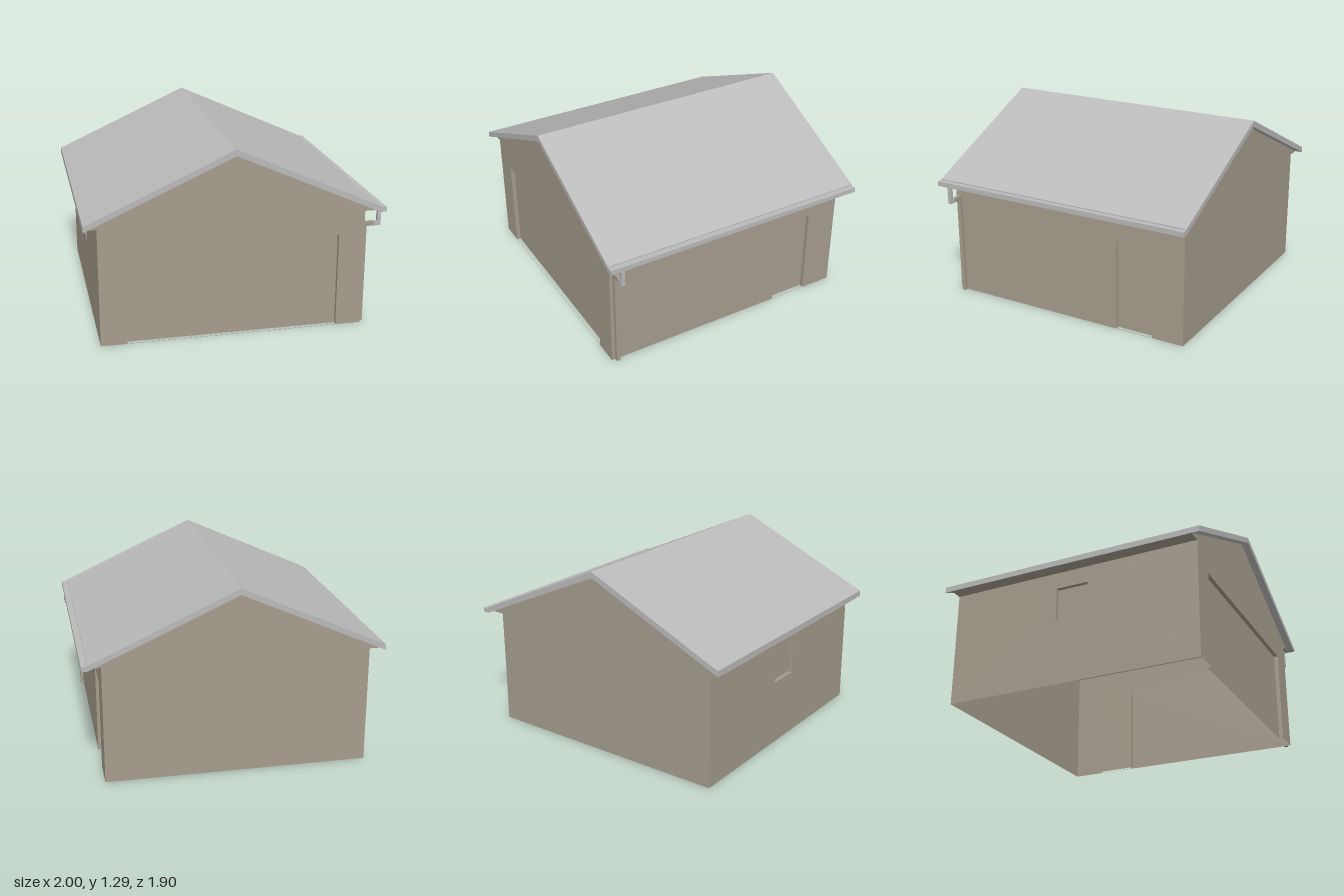
import * as THREE from 'three';

const mat = (name, color) => new THREE.MeshStandardMaterial({ name, color, side: THREE.DoubleSide });

const X0 = -0.91, X1 = 0.87, RIDGE = -0.02, ZF = 0.9, ZB = -0.895;
const EAVE = 0.81, WALL_TOP = 0.85, PEAK = 1.25;

function polygon(points) {
  return new THREE.Shape(points.map(([x, y]) => new THREE.Vector2(x, y)));
}

function add(parent, name, geometry, material, x = 0, y = 0, z = 0) {
  const mesh = new THREE.Mesh(geometry, material);
  mesh.name = name;
  mesh.position.set(x, y, z);
  parent.add(mesh);
  return mesh;
}

// Box given by its minimum and maximum corners
function box(parent, name, material, a, b) {
  const size = a.map((v, i) => b[i] - v);
  const mid = a.map((v, i) => (b[i] + v) / 2);
  return add(parent, name, new THREE.BoxGeometry(...size), material, ...mid);
}

// Thin wall facing local +z, with an optional recessed panel
function wall(parent, name, points, material, recess) {
  const group = new THREE.Group();
  group.name = name;
  const shape = polygon(points);
  if (recess) {
    const { x0, x1, y0, y1, label } = recess, d = 0.028;
    shape.holes.push(new THREE.Path(
      [[x0, y0], [x0, y1], [x1, y1], [x1, y0]].map(([x, y]) => new THREE.Vector2(x, y))));
    const w = x1 - x0, h = y1 - y0, cx = (x0 + x1) / 2, cy = (y0 + y1) / 2;
    add(group, label, new THREE.PlaneGeometry(w, h), material, cx, cy, -d);
    // Jambs, head and sill
    for (const [x, s] of [[x0, 1], [x1, -1]])
      add(group, label + 'Jamb', new THREE.PlaneGeometry(d, h), material, x, cy, -d / 2).rotation.y = s * Math.PI / 2;
    for (const [y, s] of y0 > 0.01 ? [[y0, -1], [y1, 1]] : [[y1, 1]])
      add(group, label + 'Edge', new THREE.PlaneGeometry(w, d), material, cx, y, -d / 2).rotation.x = s * Math.PI / 2;
  }
  add(group, name + 'Face', new THREE.ShapeGeometry(shape), material);
  parent.add(group);
  return group;
}

export function createModel() {
  const model = new THREE.Group();
  model.name = 'garage';
  const tan = mat('wallTan', 0xa59c8d);
  const grey = mat('roofGrey', 0xbababa);

  // Gable walls, the front one with a wide vehicle door
  const gable = [[X0, 0], [X1, 0], [X1, WALL_TOP], [RIDGE, PEAK], [X0, WALL_TOP]];
  wall(model, 'frontWall', gable, tan,
    { x0: -0.735, x1: 0.695, y0: 0.002, y1: 0.655, label: 'garageDoor' }).position.z = ZF;
  const back = wall(model, 'backWall', gable.map(([x, y]) => [-x, y]).reverse(), tan);
  back.rotation.y = Math.PI;
  back.position.z = ZB;

  // Left wall with the side door (local x runs towards the back)
  const left = wall(model, 'leftWall',
    [[-ZF, 0], [-ZB, 0], [-ZB, WALL_TOP], [-ZF, WALL_TOP]], tan,
    { x0: 0.4, x1: 0.67, y0: 0.002, y1: 0.63, label: 'sideDoor' });
  left.rotation.y = Math.PI / 2;
  left.position.x = X1;

  // Right wall with the window (local x runs towards the front)
  const right = wall(model, 'rightWall',
    [[ZB, 0], [ZF, 0], [ZF, WALL_TOP], [ZB, WALL_TOP]], tan,
    { x0: -0.11, x1: 0.12, y0: 0.455, y1: 0.69, label: 'window' });
  right.rotation.y = -Math.PI / 2;
  right.position.x = X0;

  // Roof slab folded over the ridge
  const roof = polygon([[-1, EAVE], [RIDGE, PEAK], [0.96, EAVE], [0.96, 0.85], [RIDGE, 1.293], [-1, 0.85]]);
  add(model, 'roof', new THREE.ExtrudeGeometry(roof, { depth: 1.9, bevelEnabled: false }), grey, 0, 0, -0.95);

  // Boxed eaves with level soffits
  for (const s of [-1, 1]) {
    const eave = polygon([[RIDGE + s * 0.98, EAVE - 0.003], [RIDGE + s * 0.89, EAVE - 0.003], [RIDGE + s * 0.89, WALL_TOP]]);
    add(model, s < 0 ? 'rightEave' : 'leftEave',
      new THREE.ExtrudeGeometry(eave, { depth: ZF - ZB, bevelEnabled: false }), tan, 0, 0, ZB);
  }

  // Gutter and downspout
  box(model, 'gutter', grey, [0.96, 0.81, -0.95], [1, 0.843, 0.95]);
  const za = 0.85, zb = 0.875;
  box(model, 'spoutDrop', grey, [0.968, 0.69, za], [0.993, 0.81, zb]);
  box(model, 'spoutElbow', grey, [0.945, 0.69, za], [0.968, 0.72, zb]);
  box(model, 'spoutArm', tan, [X1, 0.69, za], [0.945, 0.72, zb]);
  box(model, 'downspout', tan, [X1, 0, za], [0.895, 0.69, zb]);

  return model;
}
